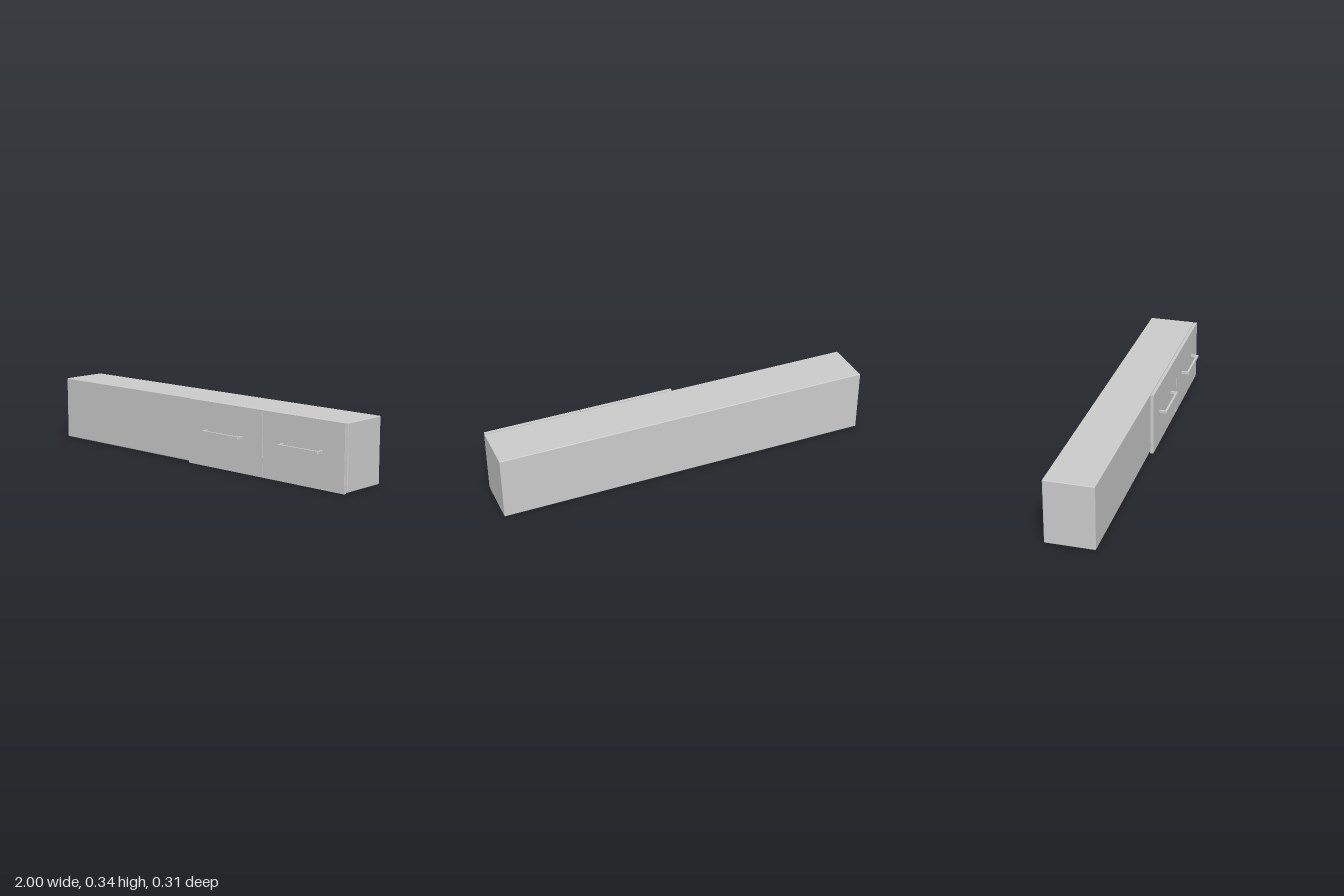
import * as THREE from 'three';
import { RoundedBoxGeometry } from 'three/addons/geometries/RoundedBoxGeometry.js';

const material = new THREE.MeshStandardMaterial({ color: 0xcccccc });

// Softened box given by its min and max corners
function block(name, [x0, y0, z0], [x1, y1, z1], radius) {
  const w = x1 - x0, h = y1 - y0, d = z1 - z0;
  const mesh = new THREE.Mesh(new RoundedBoxGeometry(w, h, d, 2, radius), material);
  mesh.position.set((x0 + x1) / 2, (y0 + y1) / 2, (z0 + z1) / 2);
  mesh.name = name;
  return mesh;
}

// U-shaped bar handle, drawn in plan (x, z) and extruded through its height
function handle(name, x, y, z) {
  const half = 0.125, reach = 0.041, bar = 0.011, height = 0.013, cut = 0.004;
  const shape = new THREE.Shape([
    [-half, 0], [-half + bar, 0], [-half + bar, reach - bar], [half - bar, reach - bar],
    [half - bar, 0], [half, 0], [half, reach - cut], [half - cut, reach],
    [-half + cut, reach], [-half, reach - cut],
  ].map(([a, b]) => new THREE.Vector2(a, b)));
  const geometry = new THREE.ExtrudeGeometry(shape, { depth: height, bevelEnabled: false });
  geometry.rotateX(Math.PI / 2);
  geometry.translate(0, height / 2, 0);
  const mesh = new THREE.Mesh(geometry, material);
  mesh.position.set(x, y, z);
  mesh.name = name;
  return mesh;
}

export function createModel() {
  const model = new THREE.Group();
  model.name = 'wallCabinet';

  // Long carcass
  model.add(block('cabinetBody', [-1, 0.003, -0.157], [1, 0.34, 0.097], 0.005));

  // Two fronts on the left half, each with a recessed spacer and a handle
  [['inner', -0.015, 0.489], ['outer', 0.492, 0.997]].forEach(([side, x0, x1]) => {
    const front = new THREE.Group();
    front.name = side + 'Front';
    front.add(
      block(side + 'Spacer', [x0 + 0.025, 0.026, 0.094], [x1 - 0.025, 0.314, 0.102], 0.0005),
      block(side + 'Panel', [x0, 0, 0.1], [x1, 0.34, 0.117], 0.001),
      handle(side + 'Handle', (x0 + x1) / 2, 0.1865, 0.1165),
    );
    model.add(front);
  });

  return model;
}
